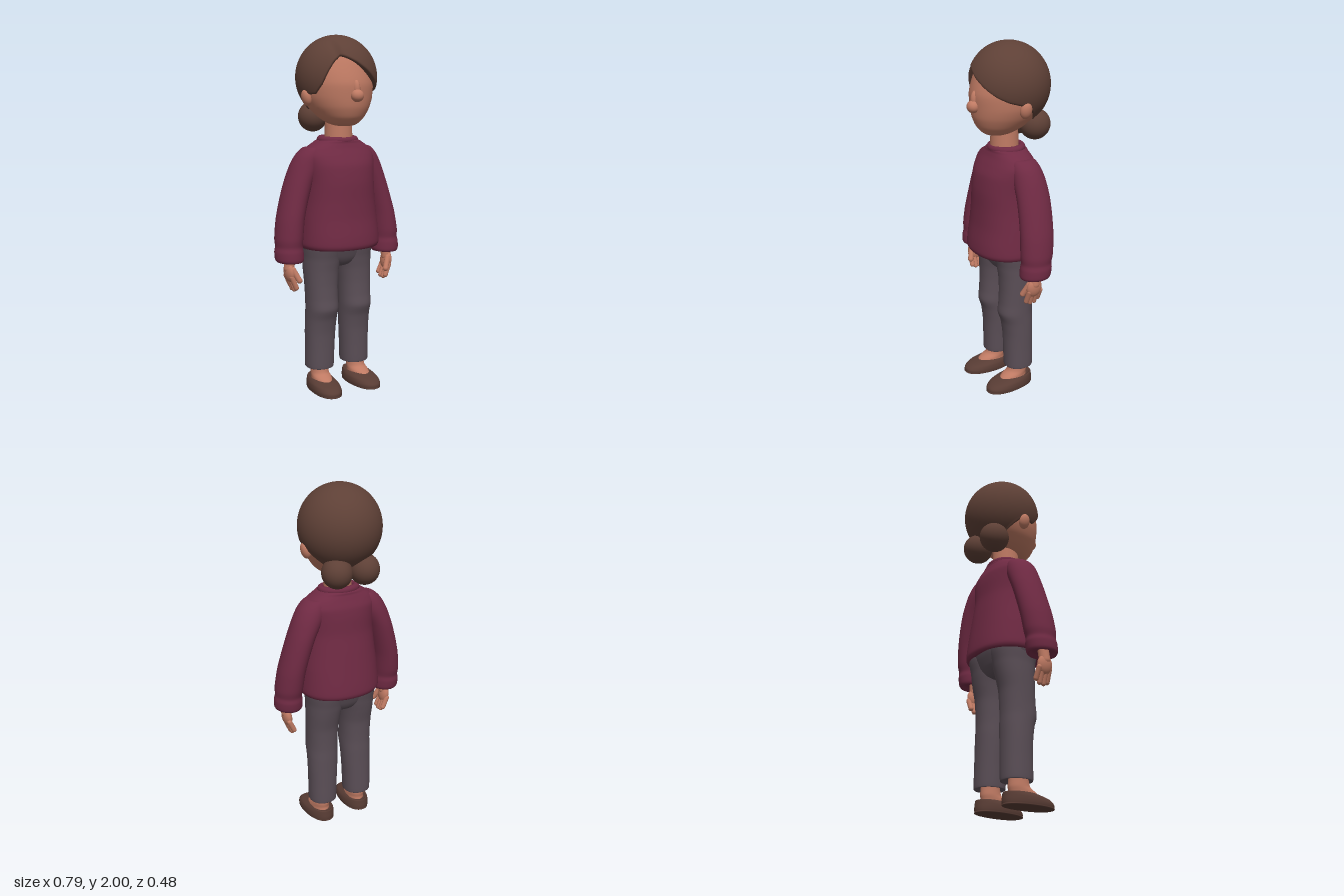
import * as THREE from 'three';

const mat = (name, color) => {
  const m = new THREE.MeshStandardMaterial({ color });
  m.name = name;
  return m;
};

// Surface from rows of points; every row is a closed ring, rows run upward
function skin(rows) {
  const n = rows[0].length, pos = [], idx = [];
  rows.forEach(r => r.forEach(p => pos.push(...p)));
  for (let i = 0; i < rows.length - 1; i++)
    for (let j = 0; j < n; j++) {
      const a = i * n + j, b = i * n + (j + 1) % n;
      idx.push(a, a + n, b, b, a + n, b + n);
    }
  const g = new THREE.BufferGeometry();
  g.setAttribute('position', new THREE.Float32BufferAttribute(pos, 3));
  g.setIndex(idx);
  g.computeVertexNormals();
  return g;
}

// Smooth loft through sections [y, cx, cz, rx, rz], closed at both ends
function loft(sections, side = 1, power = 2, seg = 48) {
  const first = sections[0], last = sections[sections.length - 1];
  const all = [[...first.slice(0, 3), 0.001, 0.001], ...sections, [...last.slice(0, 3), 0.001, 0.001]];
  const centre = new THREE.CatmullRomCurve3(all.map(s => new THREE.Vector3(s[1] * side, s[0], s[2])), false, 'catmullrom', 0.4);
  const radius = new THREE.CatmullRomCurve3(all.map(s => new THREE.Vector3(s[3], s[4], 0)), false, 'catmullrom', 0.4);
  const rows = [], steps = (all.length - 1) * 5;
  const round = v => Math.sign(v) * Math.abs(v) ** (2 / power);
  for (let i = 0; i <= steps; i++) {
    const c = centre.getPoint(i / steps), r = radius.getPoint(i / steps), row = [];
    for (let j = 0; j < seg; j++) {
      const a = j / seg * Math.PI * 2;
      row.push([c.x + Math.max(r.x, 0.001) * round(Math.cos(a)), c.y, c.z + Math.max(r.y, 0.001) * round(Math.sin(a))]);
    }
    rows.push(row);
  }
  return skin(rows);
}

// Hair cap: an ellipsoid cut along a swept hairline, with a side parting
function hairCap() {
  // hairline as [azimuth in degrees from the front, height]
  const line = [[-180, 1.56], [-125, 1.58], [-105, 1.64], [-90, 1.685], [-62, 1.69], [-50, 1.74], [-42, 1.8],
    [-34, 1.85], [-25, 1.89], [-10, 1.868], [0, 1.85], [17, 1.81], [32, 1.77], [45, 1.74], [60, 1.715],
    [90, 1.685], [105, 1.64], [125, 1.58], [180, 1.56]];
  const edge = d => {
    const k = Math.max(1, line.findIndex(p => p[0] >= d));
    const [a, b] = [line[k - 1], line[k]];
    return a[1] + (b[1] - a[1]) * (d - a[0]) / (b[0] - a[0]);
  };
  const cy = 1.77, ry = 0.23, rx = 0.225, seg = 144, n = 32, rows = [];
  const point = (d, t, shrink, dy) => {
    const a = d * Math.PI / 180, th = Math.acos((edge(d) - cy) / ry) * t;
    const x = rx * Math.sin(th) * Math.sin(a);
    let z = Math.sin(th) * Math.cos(a), y = cy + ry * Math.cos(th);
    if (z > 0) {
      const lower = 1 - THREE.MathUtils.smoothstep(x, -0.105, -0.075);
      const crease = Math.exp(-(((x + 0.09) / 0.016) ** 2)) * THREE.MathUtils.smoothstep(z, 0.25, 0.7);
      z *= 0.235 * (1 - 0.07 * lower - 0.04 * crease);
      y -= 0.007 * crease;
    } else z *= 0.227;
    return [x * shrink, y + dy, z * shrink - 0.015];
  };
  const ring = (t, shrink, dy) => Array.from({ length: seg }, (_, j) => point(90 - j / seg * 360 < -180
    ? 450 - j / seg * 360 : 90 - j / seg * 360, t, shrink, dy));
  // rolled-under edge, then the dome up to the crown
  rows.push(ring(1, 0.74, 0.012), ring(1, 0.88, -0.006), ring(1, 0.95, -0.011), ring(1, 0.985, -0.007));
  for (let i = n; i >= 0; i--) rows.push(ring(Math.max(i / n, 0.002), 1, 0));
  return skin(rows);
}

export function createModel() {
  const model = new THREE.Group();
  const skinTone = mat('skin', 0xbf7a63), sweater = mat('plum knit', 0x6f2a43), trousers = mat('grey cloth', 0x5a4e56);
  const hair = mat('brown hair', 0x5e4036), leather = mat('brown leather', 0x583c34);

  const add = (name, geometry, material, parent = model) => {
    const m = new THREE.Mesh(geometry, material);
    m.name = name;
    parent.add(m);
    return m;
  };
  const ball = (name, material, p, r, parent) => {
    const m = add(name, new THREE.SphereGeometry(1, 32, 24), material, parent);
    m.position.set(...p);
    m.scale.set(...r);
    return m;
  };
  const rod = (name, material, a, b, r, parent) => {
    const from = new THREE.Vector3(...a), dir = new THREE.Vector3(...b).sub(from);
    const m = add(name, new THREE.CapsuleGeometry(r, dir.length(), 8, 16), material, parent);
    m.position.copy(from).addScaledVector(dir, 0.5);
    m.quaternion.setFromUnitVectors(new THREE.Vector3(0, 1, 0), dir.normalize());
    return m;
  };

  // Head, nose and neck
  add('head', loft([
    [1.508, 0, 0.07, 0.045, 0.045], [1.522, 0, 0.058, 0.085, 0.085], [1.555, 0, 0.038, 0.125, 0.135],
    [1.605, 0, 0.015, 0.163, 0.178], [1.66, 0, 0, 0.187, 0.2], [1.73, 0, -0.005, 0.196, 0.207],
    [1.8, 0, -0.01, 0.19, 0.193], [1.88, 0, -0.01, 0.16, 0.16], [1.94, 0, -0.01, 0.1, 0.1]]), skinTone);
  ball('nose', skinTone, [0, 1.67, 0.205], [0.036, 0.034, 0.034]);
  ball('noseBridge', skinTone, [0, 1.705, 0.19], [0.022, 0.05, 0.028]);
  add('neck', new THREE.CylinderGeometry(0.074, 0.08, 0.2, 40), skinTone).position.set(0, 1.48, 0.012);

  // Hair
  add('hair', hairCap(), hair);

  // Sweater body and collar
  add('sweaterBody', loft([
    [0.85, 0, 0.01, 0.195, 0.165], [0.832, 0, 0.01, 0.22, 0.188], [0.855, 0, 0.01, 0.234, 0.2],
    [0.91, 0, 0.01, 0.231, 0.196], [1.0, 0, 0.009, 0.222, 0.183], [1.1, 0, 0.012, 0.209, 0.172],
    [1.2, 0, 0.017, 0.202, 0.162], [1.29, 0, 0.012, 0.208, 0.152], [1.345, 0, 0.003, 0.212, 0.135],
    [1.385, 0, 0, 0.19, 0.115], [1.412, 0, 0, 0.15, 0.103], [1.43, 0, 0, 0.11, 0.093]], 1, 2.25, 64), sweater);
  const collar = add('collar', new THREE.TorusGeometry(0.094, 0.021, 16, 56), sweater);
  collar.rotation.x = Math.PI / 2 + 0.06;
  collar.position.set(0, 1.43, 0.002);
  collar.scale.set(1.05, 0.88, 1);

  // Trouser seat joining the legs
  add('trouserSeat', loft([[0.715, 0, -0.008, 0.03, 0.05], [0.735, 0, -0.008, 0.1, 0.09],
    [0.785, 0, -0.009, 0.19, 0.118], [0.88, 0, -0.01, 0.203, 0.134]], 1, 2.3), trousers);

  for (const s of [1, -1]) {
    const side = s > 0 ? 'left' : 'right';
    ball(side + 'Bun', hair, [s * 0.083, 1.555, -0.132], [0.082, 0.085, 0.087]);
    ball(side + 'Ear', skinTone, [s * 0.196, 1.66, 0.002], [0.026, 0.046, 0.034]).rotation.z = -s * 0.25;

    // Sleeve with a gathered cuff
    add(side + 'Sleeve', loft([
      [0.79, 0.315, 0.018, 0.045, 0.055], [0.77, 0.315, 0.016, 0.067, 0.078], [0.785, 0.316, 0.014, 0.078, 0.088],
      [0.825, 0.317, 0.01, 0.078, 0.09], [0.855, 0.316, 0.008, 0.073, 0.086], [0.9, 0.314, 0.004, 0.076, 0.093],
      [1.0, 0.3, -0.005, 0.075, 0.096], [1.1, 0.274, -0.013, 0.075, 0.096], [1.2, 0.241, -0.018, 0.077, 0.095],
      [1.29, 0.2, -0.017, 0.084, 0.091], [1.35, 0.172, -0.012, 0.078, 0.083], [1.39, 0.15, -0.008, 0.055, 0.062]], s), sweater);

    // Hand
    const hand = new THREE.Group();
    hand.name = side + 'Hand';
    model.add(hand);
    rod('wrist', skinTone, [s * 0.318, 0.8, 0.02], [s * 0.324, 0.735, 0.024], 0.03, hand);
    ball('palm', skinTone, [s * 0.323, 0.71, 0.024], [0.026, 0.055, 0.046], hand).rotation.z = -s * 0.12;
    [[0.054, 0.627], [0.032, 0.616], [0.008, 0.618], [-0.014, 0.635]].forEach(([z, y]) =>
      rod('finger', skinTone, [s * 0.324, 0.69, z], [s * 0.298, y, z * 1.05], 0.0145, hand));
    rod('thumb', skinTone, [s * 0.315, 0.73, 0.052], [s * 0.287, 0.67, 0.074], 0.016, hand);

    // Trouser leg with a knee bulge
    add(side + 'TrouserLeg', loft([
      [0.15, 0.118, -0.008, 0.055, 0.058], [0.13, 0.117, -0.008, 0.076, 0.079], [0.145, 0.117, -0.008, 0.081, 0.084],
      [0.25, 0.115, -0.007, 0.083, 0.084], [0.34, 0.113, -0.005, 0.086, 0.085], [0.42, 0.111, 0.001, 0.088, 0.091],
      [0.48, 0.11, 0.011, 0.089, 0.1], [0.54, 0.11, 0.007, 0.089, 0.098], [0.62, 0.11, 0.002, 0.091, 0.099],
      [0.7, 0.107, -0.006, 0.096, 0.109], [0.77, 0.101, -0.009, 0.102, 0.12], [0.87, 0.1, -0.01, 0.102, 0.13]], s, 2.2), trousers);

    // Foot and low slip-on shoe, toes turned slightly out
    const foot = new THREE.Group();
    foot.name = side + 'Foot';
    foot.position.x = s * 0.122;
    foot.rotation.y = s * 0.06;
    model.add(foot);
    add('ankle', loft([[0.045, 0, 0.04, 0.05, 0.09], [0.075, 0, 0.027, 0.053, 0.08], [0.1, 0, 0.005, 0.05, 0.062],
      [0.14, 0, 0, 0.047, 0.055], [0.2, 0, 0, 0.047, 0.055]]), skinTone, foot);
    add('shoe', loft([[0.002, 0, 0.06, 0.07, 0.14], [0.012, 0, 0.06, 0.078, 0.149], [0.03, 0, 0.058, 0.079, 0.148],
      [0.05, 0, 0.045, 0.075, 0.133], [0.066, 0, 0.016, 0.065, 0.102], [0.07, 0, 0.008, 0.057, 0.09],
      [0.06, 0, 0.008, 0.045, 0.07]], 1, 2.25), leather, foot);
  }
  return model;
}
